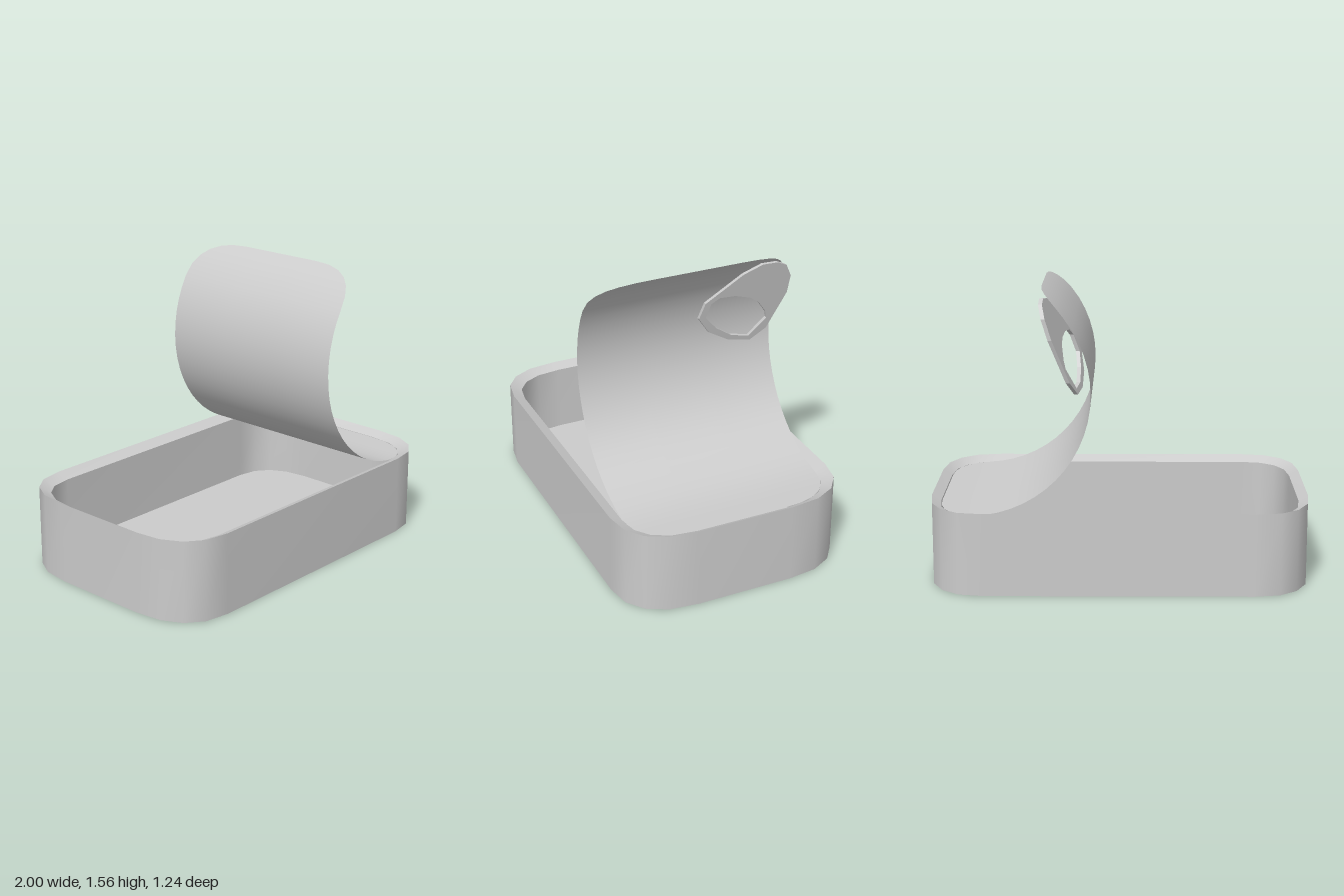
import * as THREE from 'three';

const grey = () => new THREE.MeshStandardMaterial({ color: 0xcccccc });
const soft = (t) => Math.pow(Math.max(t, 0), 0.85); // slightly squared corner curve

// Rounded rectangle ring at height y; cx, cz are the corner sizes
function ring(hx, hz, cx, cz, y) {
  const pts = [];
  for (let q = 0; q < 4; q++) {
    for (let i = 0; i <= 4; i++) {
      const a = (q + i / 4) * Math.PI / 2;
      const c = Math.cos(a), s = Math.sin(a);
      const sx = q === 0 || q === 3 ? 1 : -1, sz = q < 2 ? 1 : -1;
      pts.push([sx * (hx - cx + cx * soft(Math.abs(c))), y, sz * (hz - cz + cz * soft(Math.abs(s)))]);
    }
  }
  return pts;
}

// Surface between rows of points, with smooth normals
function loft(rows, closed) {
  const n = rows[0].length, idx = [];
  for (let r = 0; r < rows.length - 1; r++) {
    for (let i = 0; i < (closed ? n : n - 1); i++) {
      const j = (i + 1) % n, a = r * n, b = a + n;
      idx.push(a + i, b + i, a + j, a + j, b + i, b + j);
    }
  }
  const g = new THREE.BufferGeometry();
  g.setAttribute('position', new THREE.Float32BufferAttribute(rows.flat(2), 3));
  g.setIndex(idx);
  g.computeVertexNormals();
  return g;
}

function add(group, name, geometry, doubleSided) {
  const mesh = new THREE.Mesh(geometry, grey());
  if (doubleSided) mesh.material.side = THREE.DoubleSide;
  mesh.name = name;
  group.add(mesh);
}

// Tin: separate bands so the edges between them stay sharp
function makeTin() {
  const tin = new THREE.Group();
  tin.name = 'tin';
  const outer = (y) => ring(1, 0.622, 0.3, 0.36, y);
  const inner = (y) => ring(0.95, 0.557, 0.25, 0.305, y);
  const centre = (y) => ring(0, 0, 0, 0, y);
  const bands = [
    ['bottom', centre(0), outer(0)],
    ['outerWall', outer(0), outer(0.44)],
    ['rim', outer(0.44), inner(0.41)],
    ['innerWall', inner(0.41), inner(0.03)],
    ['floor', inner(0.03), centre(0.03)],
  ];
  for (const [name, a, b] of bands) add(tin, name, loft([a, b], true));
  return tin;
}

// Lid: a flat start at the hinge, then rolled up along an arc
function makeLid() {
  const R = 0.635, cx = 0.78, cy = 1.045, x0 = 0.945;
  const flat = x0 - cx, total = flat + R * 2.51, corner = 0.25;
  const stations = [];
  for (let i = 0; i <= 6; i++) {
    const d = corner * (1 - soft(Math.cos(i / 6 * Math.PI / 2)));
    stations.push(d, total - d);
  }
  for (let i = 1; i < 18; i++) stations.push(corner + (total - 2 * corner) * i / 18);
  stations.sort((a, b) => a - b);
  const rows = stations.map((s) => {
    const e = Math.min(1, Math.max(0, s, 0) / corner, Math.max(0, total - s) / corner);
    const k = Math.acos(Math.min(1, Math.pow(1 - e, 1 / 0.85)));
    const w = 0.25 + 0.307 * soft(Math.sin(k));
    const a = Math.max(0, s - flat) / R;
    const x = s < flat ? x0 - s : cx - R * Math.sin(a);
    const y = cy - R * Math.cos(a);
    return [-1, -0.33, 0.33, 1].map((t) => [x, y, t * w]);
  });
  return loft(rows, false);
}

// Pull tab: teardrop plate with a finger hole, leaning against the lid
function makeTab() {
  const v = (list) => list.map(([x, y]) => new THREE.Vector2(x, y));
  const shape = new THREE.Shape(v([
    [0.395, 1.015], [0.47, 1.09], [0.54, 1.32], [0.54, 1.43], [0.505, 1.5], [0.455, 1.522],
    [0.38, 1.515], [0.29, 1.46], [0.12, 1.29], [0.1, 1.19], [0.165, 1.095], [0.28, 1.03],
  ]));
  shape.holes.push(new THREE.Path(v([
    [0.385, 1.045], [0.29, 1.06], [0.2, 1.12], [0.135, 1.195], [0.15, 1.285], [0.19, 1.32],
    [0.27, 1.325], [0.35, 1.305], [0.4, 1.27], [0.45, 1.2], [0.46, 1.16],
  ])));
  const g = new THREE.ExtrudeGeometry(shape, { depth: 0.02, bevelEnabled: false });
  const p = g.attributes.position;
  for (let i = 0; i < p.count; i++) {
    const u = p.getX(i), y = p.getY(i), d = p.getZ(i);
    p.setXYZ(i, -0.187 + 0.31 * y + 0.22 * u + d, y, -u);
  }
  g.computeVertexNormals();
  return g;
}

export function createModel() {
  const model = new THREE.Group();
  model.name = 'openTin';
  model.add(makeTin());
  add(model, 'rolledLid', makeLid(), true);
  add(model, 'pullTab', makeTab());
  return model;
}
